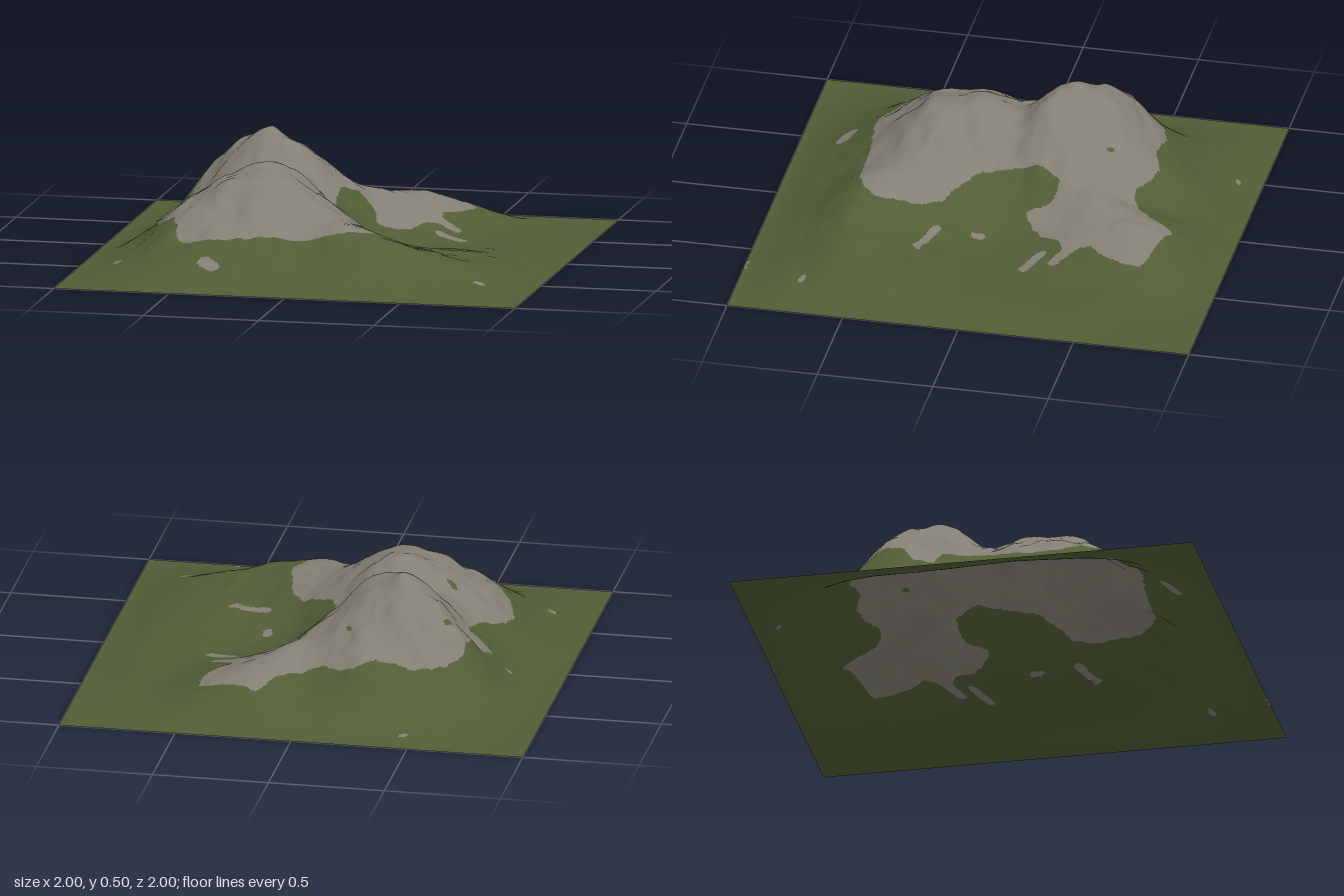
import * as THREE from 'three';

const SEGMENTS = 260;

// Coarse relief: rows run back to front, columns run from -x to +x, 0.2 apart.
const RELIEF = [
  [0.02, 0.05, 0.07, 0.08, 0.08, 0.10, 0.08, 0.03, 0.01],
  [0.04, 0.14, 0.20, 0.21, 0.13, 0.17, 0.12, 0.05, 0.02],
  [0.07, 0.30, 0.38, 0.35, 0.24, 0.17, 0.10, 0.04, 0.03],
  [0.07, 0.26, 0.45, 0.44, 0.27, 0.11, 0.06, 0.04, 0.03],
  [0.07, 0.22, 0.34, 0.36, 0.24, 0.09, 0.05, 0.05, 0.04],
  [0.09, 0.26, 0.38, 0.41, 0.28, 0.14, 0.09, 0.08, 0.05],
  [0.07, 0.23, 0.33, 0.36, 0.28, 0.20, 0.13, 0.10, 0.06],
  [0.05, 0.14, 0.20, 0.20, 0.19, 0.21, 0.17, 0.12, 0.06],
  [0.02, 0.05, 0.08, 0.08, 0.08, 0.08, 0.07, 0.05, 0.03],
];

// Crags on the ridge: x, z, height, radius.
const CRAGS = [
  [-0.33, -0.23, 0.03, 0.06], [-0.49, -0.3, 0.025, 0.07],
  [-0.2, -0.11, 0.025, 0.06], [-0.22, 0.5, 0.03, 0.07],
];

// Outline of the bare rock, as x, z pairs.
const ROCK_OUTLINE = [
  -0.62, -0.48, -0.55, -0.55, -0.42, -0.59, -0.28, -0.58, -0.17, -0.61, -0.05, -0.55,
  0.02, -0.55, 0.13, -0.64, 0.2, -0.75, 0.3, -0.72, 0.4, -0.7, 0.46, -0.68,
  0.45, -0.55, 0.37, -0.4, 0.47, -0.31, 0.46, -0.27, 0.36, -0.31, 0.26, -0.19,
  0.16, -0.12, 0.12, -0.21, 0.06, -0.23, 0.01, -0.17, 0, 0, 0.06, 0.14,
  0.2, 0.25, 0.26, 0.38, 0.28, 0.5, 0.22, 0.58, 0.04, 0.62, -0.15, 0.63,
  -0.38, 0.65, -0.52, 0.63, -0.6, 0.46, -0.67, 0.38, -0.72, 0.24, -0.69, 0.1,
  -0.62, 0.02, -0.6, -0.1, -0.62, -0.16, -0.7, -0.18, -0.69, -0.26, -0.65, -0.32,
];

// Small outcrops and grass tufts: streaks from x0, z0 to x1, z1 with a radius.
const OUTCROPS = [
  [0.4, -0.23, 0.51, -0.17, 0.021], [0.305, 0.05, 0.31, 0.07, 0.02],
  [0.34, 0.235, 0.49, 0.285, 0.018], [-0.4, 0.77, -0.36, 0.79, 0.028],
  [-0.82, 0.6, -0.81, 0.6, 0.018], [0.77, 0.72, 0.79, 0.73, 0.013],
  [-0.47, -0.9, -0.45, -0.9, 0.011], [-0.79, -0.21, -0.78, -0.21, 0.01],
  [0.61, 0.995, 0.66, 0.995, 0.008],
];
const TUFTS = [
  [-0.56, -0.38, -0.55, -0.39, 0.012], [-0.14, -0.42, -0.14, -0.41, 0.008],
  [-0.48, 0.12, -0.47, 0.13, 0.014],
];

// Repeatable value noise.
function hash(i, j) {
  const s = Math.sin(i * 127.1 + j * 311.7 + 17.3) * 43758.5453;
  return s - Math.floor(s);
}

function noise(x, z) {
  const i = Math.floor(x), j = Math.floor(z);
  const fade = (t) => t * t * t * (t * (t * 6 - 15) + 10);
  const u = fade(x - i), v = fade(z - j);
  const a = THREE.MathUtils.lerp(hash(i, j), hash(i + 1, j), u);
  const b = THREE.MathUtils.lerp(hash(i, j + 1), hash(i + 1, j + 1), u);
  return THREE.MathUtils.lerp(a, b, v) * 2 - 1;
}

// Relief value by row and column; zero on the rim, mirrored past it.
function reliefAt(row, col) {
  const mirror = (k) => (k < 0 ? -k : k > 10 ? 20 - k : k);
  const r = mirror(row), c = mirror(col);
  if (r === 0 || r === 10 || c === 0 || c === 10) return 0;
  return RELIEF[r - 1][c - 1];
}

function cubic(a, b, c, d, t) {
  return b + 0.5 * t * (c - a + t * (2 * a - 5 * b + 4 * c - d + t * (3 * (b - c) + d - a)));
}

function heightAt(x, z) {
  const u = (x + 1) * 5, v = (z + 1) * 5;
  const col = Math.min(9, Math.floor(u)), row = Math.min(9, Math.floor(v));
  const across = [-1, 0, 1, 2].map((k) => cubic(
    ...[-1, 0, 1, 2].map((m) => reliefAt(row + k, col + m)), u - col));
  let h = Math.max(0, cubic(...across, v - row));
  for (const [cx, cz, rise, radius] of CRAGS) {
    h += rise * Math.exp(-((x - cx) ** 2 + (z - cz) ** 2) / radius ** 2);
  }
  // Lumps and gullies, stronger on high ground
  const lumps = 0.014 * noise(x * 8 + 3, z * 8) + 0.009 * noise(x * 15, z * 15 + 5)
    + 0.002 * noise(x * 34, z * 34);
  return Math.max(0, h + lumps * Math.min(1, h / 0.3));
}

function inPolygon(x, z, points) {
  let inside = false;
  for (let i = 0, j = points.length - 1; i < points.length; j = i++) {
    const a = points[i], b = points[j];
    if ((a.z > z) !== (b.z > z) && x < ((b.x - a.x) * (z - a.z)) / (b.z - a.z) + a.x) inside = !inside;
  }
  return inside;
}

function inStreak(x, z, [x0, z0, x1, z1, radius]) {
  const dx = x1 - x0, dz = z1 - z0;
  const t = THREE.MathUtils.clamp(((x - x0) * dx + (z - z0) * dz) / (dx * dx + dz * dz), 0, 1);
  return Math.hypot(x - x0 - t * dx, z - z0 - t * dz) < radius;
}

export function createModel() {
  const grass = new THREE.MeshStandardMaterial({ color: 0x505d35, side: THREE.DoubleSide });
  grass.name = 'grass green';
  const rock = new THREE.MeshStandardMaterial({ color: 0x837f74, side: THREE.DoubleSide });
  rock.name = 'rock grey';

  // Height field
  const geometry = new THREE.PlaneGeometry(2, 2, SEGMENTS, SEGMENTS).rotateX(-Math.PI / 2);
  const pos = geometry.attributes.position;
  for (let i = 0; i < pos.count; i++) pos.setY(i, heightAt(pos.getX(i), pos.getZ(i)));
  geometry.computeVertexNormals();

  // Sort the faces into grass and rock
  const corners = [];
  for (let i = 0; i < ROCK_OUTLINE.length; i += 2) {
    corners.push(new THREE.Vector3(ROCK_OUTLINE[i], 0, ROCK_OUTLINE[i + 1]));
  }
  const outline = new THREE.CatmullRomCurve3(corners, true).getPoints(200);
  const faces = [[], []];
  const index = geometry.index;
  for (let f = 0; f < index.count; f += 3) {
    const tri = [index.getX(f), index.getX(f + 1), index.getX(f + 2)];
    const x = tri.reduce((sum, k) => sum + pos.getX(k), 0) / 3;
    const z = tri.reduce((sum, k) => sum + pos.getZ(k), 0) / 3;
    // Slight wobble for a natural edge
    const wx = x + 0.008 * noise(x * 25, z * 25), wz = z + 0.008 * noise(x * 25 + 9, z * 25);
    const bare = inPolygon(wx, wz, outline)
      ? !TUFTS.some((s) => inStreak(wx, wz, s))
      : OUTCROPS.some((s) => inStreak(wx, wz, s));
    faces[bare ? 1 : 0].push(...tri);
  }
  geometry.setIndex(faces.flat());
  geometry.addGroup(0, faces[0].length, 0);
  geometry.addGroup(faces[0].length, faces[1].length, 1);

  const mountain = new THREE.Mesh(geometry, [grass, rock]);
  mountain.name = 'mountainTerrain';
  const group = new THREE.Group();
  group.name = 'mountain';
  group.add(mountain);
  return group;
}
